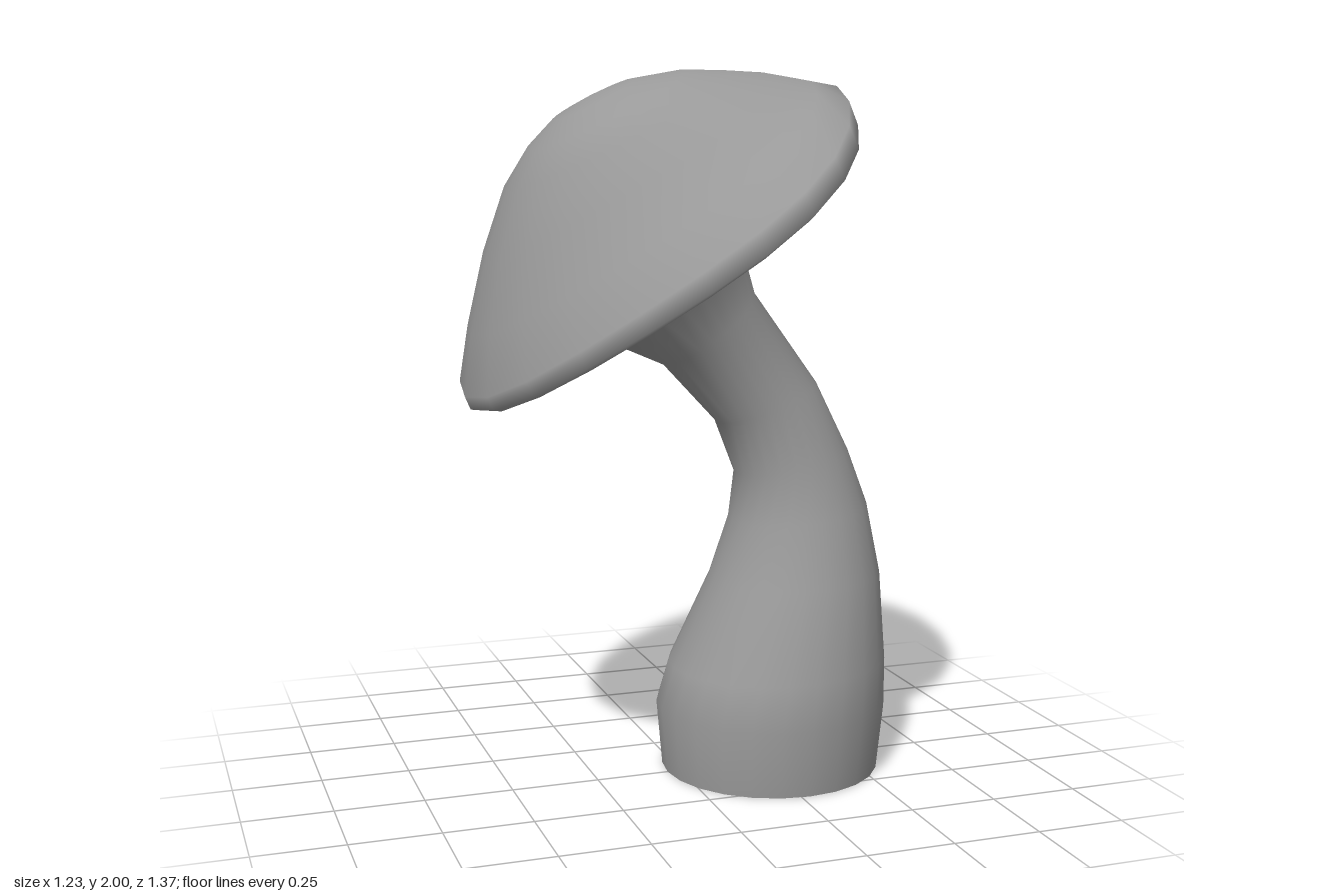
import * as THREE from 'three';

const SIDES = 24;

// Cross-sections from the ground up: left edge (x, y), right edge (x, y), half depth in z
const STEM = [
  [-0.04, 0, 0.59, 0, 0.317],
  [-0.057, 0.19, 0.61, 0.19, 0.333],
  [-0.02, 0.31, 0.612, 0.33, 0.317],
  [0.10, 0.56, 0.597, 0.58, 0.252],
  [0.155, 0.73, 0.56, 0.77, 0.20],
  [0.17, 0.87, 0.50, 0.93, 0.165],
  [0.11, 1.02, 0.40, 1.13, 0.148],
  [-0.05, 1.19, 0.21, 1.39, 0.15],
  [-0.28, 1.29, 0.13, 1.64, 0.26],
];

// Underside, rim and dome; the last number moves the widest point towards the right edge
const CAP = [
  [-0.46, 1.187, 0.29, 1.795, 0.48, 0.10],
  [-0.575, 1.087, 0.41, 1.88, 0.65, 0.16],
  [-0.60, 1.09, 0.425, 1.905, 0.685, 0.16],
  [-0.615, 1.125, 0.40, 1.97, 0.675, 0.16],
  [-0.595, 1.29, 0.34, 1.98, 0.53, 0.13],
  [-0.55, 1.50, 0.24, 1.995, 0.41, 0.08],
  [-0.49, 1.68, 0.12, 2.0, 0.32, 0.04],
  [-0.43, 1.78, 0, 2.0, 0.235],
  [-0.36, 1.86, -0.14, 1.975, 0.12],
  [-0.255, 1.93, -0.255, 1.93, 0],
];

export function createModel() {
  const rings = [...STEM, ...CAP];
  const last = rings.length - 1;

  // Tilted oval rings; where skewed, the sides also sag a little below the ring's plane
  const positions = [];
  for (const [lx, ly, rx, ry, depth, skew = 0] of rings) {
    for (let j = 0; j < SIDES; j++) {
      const a = (j / SIDES) * Math.PI * 2;
      const c = Math.cos(a), s = Math.sin(a);
      const tx = c + skew * s * s;
      const ty = c + skew * s * s * (0.65 - 0.9 * c);
      positions.push(
        (lx + rx) / 2 + ((rx - lx) / 2) * tx,
        (ly + ry) / 2 + ((ry - ly) / 2) * ty,
        depth * s
      );
    }
  }

  // Skin between two rings; the top ring shares one vertex
  const at = (r, j) => r * SIDES + (r === last ? 0 : j % SIDES);
  const skin = (from, to) => {
    const index = [];
    for (let r = from; r < to; r++) {
      for (let j = 0; j < SIDES; j++) {
        const a = at(r, j), b = at(r, j + 1), c = at(r + 1, j), d = at(r + 1, j + 1);
        index.push(a, c, b);
        if (r + 1 < last) index.push(b, c, d);
      }
    }
    return index;
  };

  // Normals are found over the whole surface so stem and cap blend smoothly
  const whole = new THREE.BufferGeometry();
  whole.setAttribute('position', new THREE.Float32BufferAttribute(positions, 3));
  whole.setIndex(skin(0, last));
  whole.computeVertexNormals();

  const material = new THREE.MeshStandardMaterial({ color: 0x999999, side: THREE.DoubleSide });
  const group = new THREE.Group();
  group.name = 'mushroom';
  const addPart = (name, from, to) => {
    const geometry = whole.clone();
    geometry.setIndex(skin(from, to));
    const mesh = new THREE.Mesh(geometry, material);
    mesh.name = name;
    group.add(mesh);
  };

  addPart('stem', 0, STEM.length - 1);
  addPart('cap', STEM.length - 1, last);
  return group;
}
